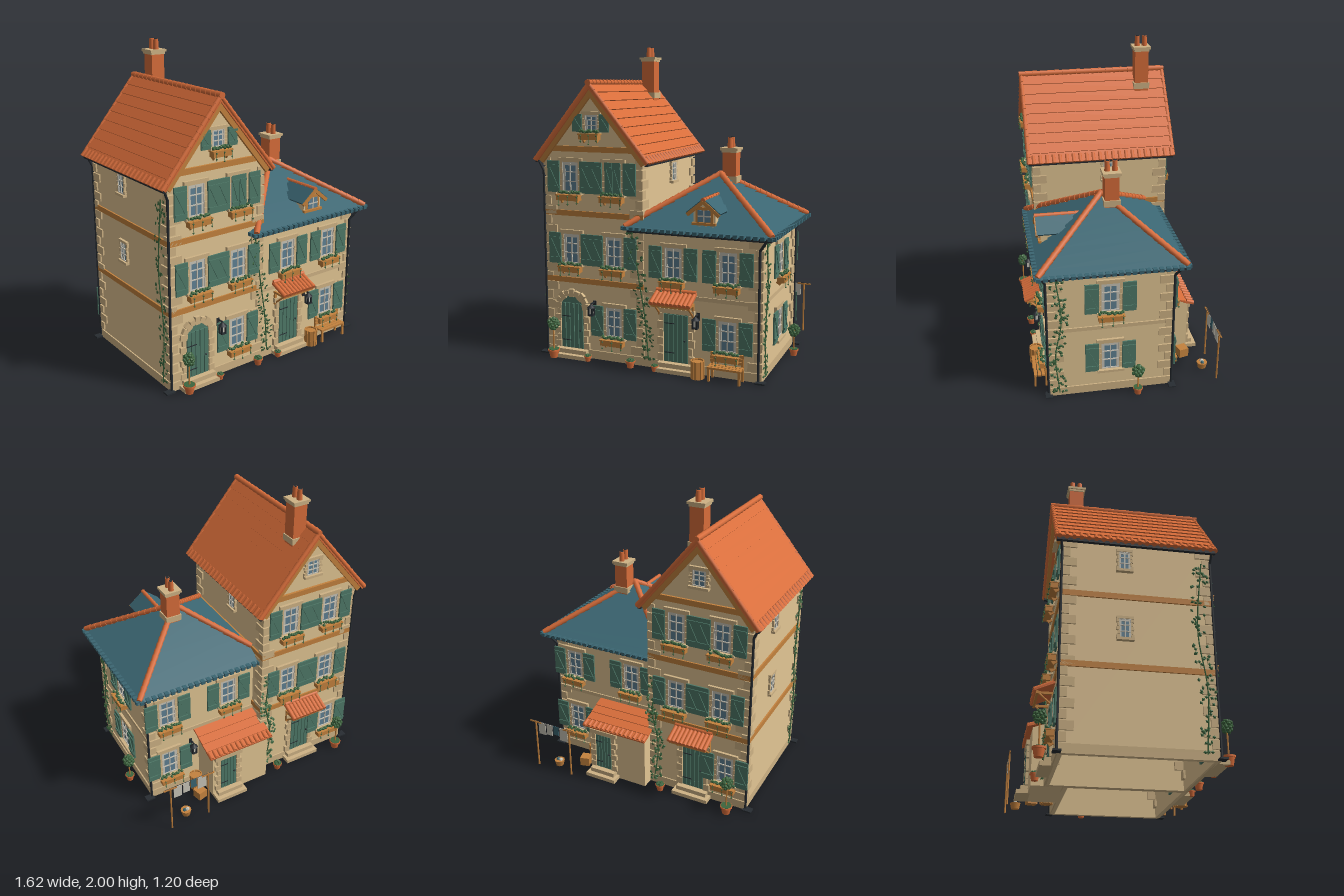
import * as THREE from 'three';
import { mergeGeometries } from 'three/addons/utils/BufferGeometryUtils.js';

const mat = (name, color) => Object.assign(new THREE.MeshStandardMaterial({ color, side: THREE.DoubleSide }), { name });
const V = (x, y, z) => new THREE.Vector3(x, y, z);
const PI = Math.PI;

export function createModel() {
  const wall = mat('wall plaster', 0xe3c694), stone = mat('stone trim', 0xcfb385), tile = mat('terracotta', 0xd86d3a),
    slate = mat('slate', 0x3b6672), green = mat('shutter green', 0x4f7968), wood = mat('wood', 0xc4823e),
    iron = mat('iron', 0x272c31), leaf = mat('leaf', 0x3e663f), glass = mat('glass', 0x5f8193), cream = mat('cream', 0xc9c5b8);
  const model = new THREE.Group();
  model.name = 'house';
  let seed = 7;
  const rnd = () => (seed = (seed * 16807) % 2147483647) / 2147483647;

  // helpers: placed primitives, merged per part
  const put = (g, x = 0, y = 0, z = 0, rx = 0, ry = 0, rz = 0) => g.applyMatrix4(new THREE.Matrix4().compose(
    V(x, y, z), new THREE.Quaternion().setFromEuler(new THREE.Euler(rx, ry, rz)), V(1, 1, 1)));
  const box = (w, h, d, ...p) => put(new THREE.BoxGeometry(w, h, d), ...p);
  const cyl = (rt, rb, h, ...p) => put(new THREE.CylinderGeometry(rt, rb, h, 12), ...p);
  const rod = (a, b, r0, r1 = r0) => {
    const g = new THREE.CylinderGeometry(r1, r0, a.distanceTo(b), 8), d = b.clone().sub(a).normalize();
    const m = new THREE.Matrix4().makeRotationFromQuaternion(new THREE.Quaternion().setFromUnitVectors(V(0, 1, 0), d));
    return g.applyMatrix4(m.setPosition(a.clone().lerp(b, 0.5)));
  };
  const tileRun = (a, b, r, n) => Array.from({ length: n }, (_, i) =>
    rod(a.clone().lerp(b, i / n), a.clone().lerp(b, Math.min(1, (i + 1.12) / n)), r * 0.8, r));
  const extrude = (pts, depth) => new THREE.ExtrudeGeometry(new THREE.Shape(pts.map(p => new THREE.Vector2(...p))), { depth, bevelEnabled: false });
  const add = (parent, name, m, ...geos) => {
    const mesh = new THREE.Mesh(mergeGeometries(geos.flat().map(g => g.index ? g.toNonIndexed() : g)), m);
    mesh.name = name;
    parent.add(mesh);
  };
  const unit = (name, x, y, z, ry = 0) => {
    const g = new THREE.Group();
    g.name = name; g.position.set(x, y, z); g.rotation.y = ry;
    model.add(g);
    return g;
  };
  const ring = (x0, x1, z0, z1, y, h, t) => [z0 + t / 2, z1 - t / 2].map(z => box(x1 - x0, h, t, (x0 + x1) / 2, y + h / 2, z))
    .concat([x0 + t / 2, x1 - t / 2].map(x => box(t, h, z1 - z0, x, y + h / 2, (z0 + z1) / 2)));
  const blob = (x, y, z, r) => put(new THREE.IcosahedronGeometry(r, 0), x, y, z, rnd() * 3, rnd() * 3);

  // hollow walls, gables, plinth and bands
  const T = [-0.74, -0.065, -0.40, 0.47], A = [-0.065, 0.70, -0.285, 0.47], out = (r, e) => [r[0] - e, r[1] + e, r[2] - e, r[3] + e];
  add(model, 'tallHouseWalls', wall, ring(...T, 0, 1.32, 0.025));
  add(model, 'annexWalls', wall, ring(...A, 0, 0.9, 0.025));
  const gable = [[-0.74, 1.31], [-0.065, 1.31], [-0.4, 1.73]];
  add(model, 'gables', wall, put(extrude(gable, 0.025), 0, 0, 0.445), put(extrude(gable, 0.025), 0, 0, -0.40));
  add(model, 'plinth', stone, ring(...out(T, 0.008), 0, 0.055, 0.02), ring(...out(A, 0.008), 0, 0.055, 0.02));
  add(model, 'timberBands', wood, ring(...out(T, 0.01), 0.49, 0.035, 0.02), ring(...out(T, 0.01), 0.925, 0.035, 0.02),
    box(0.62, 0.035, 0.02, -0.4, 1.352, 0.475), box(0.62, 0.035, 0.02, -0.4, 1.352, -0.405));
  add(model, 'annexStoneBand', stone, ring(...out(A, 0.008), 0.46, 0.025, 0.02));

  // corner stones
  const quoins = [];
  for (const [x, z, sx, sz, top] of [[-0.74, 0.47, -1, 1, 1.28], [-0.74, -0.4, -1, -1, 1.28], [-0.065, 0.47, 1, 1, 1.28],
    [-0.065, -0.4, 1, -1, 1.28], [0.7, 0.47, 1, 1, 0.84], [0.7, -0.285, 1, -1, 0.84]])
    for (let y = 0.09, i = 0; y < top; y += 0.062, i++) {
      const w = i % 2 ? 0.05 : 0.09, d = 0.14 - w;
      quoins.push(box(w, 0.052, d, x + sx * (0.01 - w / 2), y, z + sz * (0.01 - d / 2)));
    }
  add(model, 'cornerStones', stone, quoins);

  // tall house roof: overlapping courses on two slopes
  const a = Math.atan2(0.475, 0.393), L = Math.hypot(0.475, 0.393), roof = [], rakes = [];
  for (const s of [-1, 1]) {
    const at = (t, up, z) => V(-0.4 + s * (0.393 * t + up * Math.sin(a)), 1.755 - 0.475 * t + up * Math.cos(a), z);
    const slab = at(0.5, -0.012, 0.03);
    roof.push(box(L, 0.018, 0.96, slab.x, slab.y, slab.z, 0, 0, -s * a));
    for (let i = 0; i < 9; i++) {
      const p = at((i + 0.5) / 9, 0.003, 0.03);
      roof.push(box(L / 9 + 0.012, 0.012, 0.96, p.x, p.y, p.z, 0, 0, -s * (a - 0.1)));
    }
    for (let z = -0.43; z < 0.5; z += 0.043) roof.push(rod(at(0.92, 0.006, z), at(1.01, 0.006, z), 0.012, 0.014));
    for (const z of [-0.443, 0.504]) roof.push(...tileRun(at(0, 0, z), at(1, 0, z), 0.016, 13));
    for (const z of [-0.43, 0.49]) {
      const p = at(0.5, -0.037, z);
      rakes.push(box(L * 0.95, 0.03, 0.02, p.x, p.y, z, 0, 0, -s * a));
    }
  }
  add(model, 'tallRoof', tile, roof, tileRun(V(-0.4, 1.762, -0.455), V(-0.4, 1.762, 0.52), 0.02, 20));
  add(model, 'gableRakes', wood, rakes);

  // annex hipped roof: stacked four-sided courses with stepped lower edges
  const hip = [], N = 8, Y0 = 0.885, H = 0.3;
  for (let i = 0; i < N; i++) {
    const g = new THREE.CylinderGeometry(Math.max(0.001, 1 - (i + 1) / N), 1 - i / N + 0.05, H / N, 4).toNonIndexed();
    g.rotateY(PI / 4).scale(0.457 * Math.SQRT2, 1, 0.437 * Math.SQRT2).translate(0.31, Y0 + H * (i + 0.5) / N, 0.09);
    g.computeVertexNormals();
    hip.push(g);
  }
  for (let k = -0.44; k < 0.45; k += 0.04) for (const s of [-1, 1])
    hip.push(box(0.026, 0.022, 0.03, 0.31 + k * 1.03, Y0, 0.09 + s * 0.452), box(0.03, 0.022, 0.026, 0.31 + s * 0.472, Y0, 0.09 + k));
  add(model, 'annexRoof', slate, hip);
  const hips = [];
  for (const sx of [-1, 1]) for (const sz of [-1, 1]) if (sx > 0 || sz > 0)
    hips.push(...tileRun(V(0.31 + sx * 0.465, 0.897, 0.09 + sz * 0.445), V(0.31, 1.192, 0.09), 0.021, 16));
  hips.push(...tileRun(V(-0.06, 0.958, -0.265), V(0.31, 1.192, 0.09), 0.021, 12));
  add(model, 'hipTiles', tile, hips);

  // dormer
  const dormer = unit('dormer', 0.345, 0, 0);
  add(dormer, 'dormerBody', wall, put(extrude([[-0.07, 0.88], [0.07, 0.88], [0.07, 1.01], [0, 1.07], [-0.07, 1.01]], 0.28), 0, 0, 0.2));
  add(dormer, 'dormerRoof', slate, [-1, 1].map(s => box(0.135, 0.014, 0.34, s * 0.052, 1.04, 0.335, 0, 0, -s * 0.68)));
  add(dormer, 'dormerRidge', tile, tileRun(V(0, 1.08, 0.17), V(0, 1.08, 0.51), 0.015, 8));
  add(dormer, 'dormerTrim', wood, [-1, 1].map(s => box(0.13, 0.022, 0.014, s * 0.05, 1.03, 0.505, 0, 0, -s * 0.68)),
    box(0.15, 0.016, 0.02, 0, 0.935, 0.485), box(0.112, 0.1, 0.006, 0, 0.985, 0.482));
  add(dormer, 'dormerGlass', glass, box(0.08, 0.07, 0.006, 0, 0.982, 0.486));
  add(dormer, 'dormerBars', cream, box(0.008, 0.07, 0.006, 0, 0.982, 0.489), box(0.08, 0.008, 0.006, 0, 0.982, 0.489));

  // chimneys
  for (const [x, z, y0, y1] of [[-0.34, -0.285, 1.62, 1.915], [0.363, 0.037, 1.1, 1.335]]) {
    const c = unit('chimney', x, 0, z), pots = [-0.024, 0.024];
    add(c, 'chimneyStack', tile, box(0.09, y1 - y0, 0.09, 0, (y0 + y1) / 2, 0), pots.map(k => cyl(0.015, 0.018, 0.07, 0, y1 + 0.05, k)));
    add(c, 'potOpenings', iron, pots.map(k => cyl(0.011, 0.011, 0.004, 0, y1 + 0.085, k)));
    add(c, 'chimneyCap', stone, box(0.115, 0.016, 0.115, 0, y1 + 0.012, 0), box(0.1, 0.014, 0.1, 0, y1 - 0.003, 0), box(0.104, 0.04, 0.104, 0, y0 + 0.055, 0));
  }

  // gutters and downpipes
  add(model, 'gutters', iron, ring(-0.145, 0.765, -0.345, 0.525, 0.858, 0.018, 0.018),
    [-0.78, -0.02].map(x => box(0.022, 0.02, 0.95, x, 1.272, 0.03)));
  const pipe = (x, z, top, sx, sz) => [rod(V(x, 0.015, z), V(x, top - 0.07, z), 0.008), rod(V(x, top - 0.07, z), V(x + sx, top, z + sz), 0.008),
    box(0.06, 0.01, 0.045, x + Math.sign(sx) * 0.015, 0.005, z)];
  add(model, 'downpipes', iron, pipe(-0.748, 0.478, 1.28, -0.032, 0.01), pipe(-0.748, -0.408, 1.28, -0.032, -0.01),
    pipe(0.69, 0.487, 0.87, 0.05, 0.03), pipe(0.712, -0.293, 0.87, 0.04, -0.04));

  // windows with surround, shutters and flower box
  const win = (x, y, z, ry, { w = 0.11, h = 0.19, shutters = true, flowers = true, closed = false } = {}) => {
    const g = unit('window', x, y, z, ry), m = h / 2, k = w / 0.11;
    add(g, 'glass', glass, box(w, h, 0.008, 0, m, 0.002));
    add(g, 'curtains', cream, [-1, 1].map(s => box(w * 0.14, h * 0.96, 0.004, s * w * 0.41, m, 0.006)), box(w, h * 0.1, 0.004, 0, h * 0.93, 0.006));
    add(g, 'windowBars', cream, box(0.007, h, 0.01, 0, m, 0.008), [0.02, 0.35, 0.67, 0.98].map(t => box(w, 0.006, 0.01, 0, h * t, 0.008)),
      [-1, 1].map(s => box(0.007, h, 0.01, s * w / 2, m, 0.008)));
    const jambs = [];
    for (let i = 0; i < 5; i++) for (const s of [-1, 1]) jambs.push(box(k * (i % 2 ? 0.02 : 0.03), h / 5 - 0.003, 0.02, s * (w / 2 + k * (i % 2 ? 0.01 : 0.015)), h * (i + 0.5) / 5, 0.004));
    add(g, 'surround', stone, jambs, box(w + 0.06 * k, 0.026 * k, 0.026, 0, h + 0.012 * k, 0.004), box(w + 0.06 * k, 0.016, 0.045 * k, 0, -0.008, 0.012));
    const sw = w * 0.77;
    const boards = (cx, bw, zz) => [box(bw, h + 0.01, 0.01, cx, m, zz), [0.15, 0.85].map(t => box(bw * 0.94, 0.014, 0.008, cx, h * t, zz + 0.007)),
      box(0.01, h * 0.75, 0.006, cx, m, zz + 0.007, 0, 0, Math.atan2(bw * 0.75, h * 0.7))].flat();
    if (shutters) add(g, 'shutters', green, [-1, 1].map(s => boards(s * (w / 2 + 0.018 + sw / 2), sw, 0.019)).flat());
    if (closed) add(g, 'closedShutters', green, [-1, 1].map(s => boards(s * w / 4, w / 2 - 0.003, 0.016)).flat());
    if (!flowers) return;
    const bw = w + 0.045, leaves = [];
    add(g, 'flowerBox', wood, box(bw, 0.036, 0.045, 0, -0.033, 0.036), box(bw + 0.01, 0.008, 0.052, 0, -0.017, 0.036),
      [-1, 1].map(s => box(0.01, 0.025, 0.03, s * bw * 0.35, -0.053, 0.02, 0.6)));
    for (let i = 0; i < 12; i++) {
      const px = (i / 11 - 0.5) * bw * 0.92;
      leaves.push(blob(px, -0.006 + rnd() * 0.012, 0.038 + (rnd() - 0.5) * 0.025, 0.011));
      if (i % 5 == 1) leaves.push(blob(px, -0.055 - rnd() * 0.025, 0.063, 0.006), blob(px, -0.025, 0.063, 0.006), rod(V(px, -0.07, 0.062), V(px, -0.01, 0.06), 0.0015));
    }
    add(g, 'boxLeaves', leaf, leaves);
  };
  for (const y of [0.62, 1.08]) for (const x of [-0.555, -0.255]) {
    win(x, y, 0.47, 0, { closed: x > -0.3 && y > 1 });
    win(x, y, -0.40, PI);
  }
  win(-0.26, 0.165, 0.47, 0);
  win(-0.60, 0.165, -0.40, PI);
  win(-0.4, 1.465, 0.47, 0, { w: 0.085, h: 0.1 });
  win(-0.4, 1.465, -0.40, PI, { w: 0.085, h: 0.1, shutters: false, flowers: false });
  for (const x of [0.145, 0.495]) win(x, 0.585, 0.47, 0);
  win(0.495, 0.165, 0.47, 0);
  for (const x of [0.13, 0.57]) win(x, 0.585, -0.285, PI);
  win(0.57, 0.165, -0.285, PI);
  win(0.70, 0.59, 0.10, PI / 2);
  win(0.70, 0.17, 0.10, PI / 2, { flowers: false });
  const small = { w: 0.065, h: 0.12, shutters: false, flowers: false };
  win(-0.065, 1.12, -0.02, PI / 2, small);
  for (const y of [0.68, 1.12]) win(-0.74, y, -0.04, -PI / 2, small);

  // doors
  const door = (x, z, ry, arch, w = 0.165, h = 0.31) => {
    const g = unit('door', x, 0.055, z, ry), r = w / 2, frame = [], s = new THREE.Shape();
    s.moveTo(-r, 0).lineTo(r, 0).lineTo(r, h);
    if (arch) s.absarc(0, h, r, 0, PI); else s.lineTo(-r, h);
    add(g, 'doorLeaf', green, put(new THREE.ExtrudeGeometry(s, { depth: 0.045, bevelEnabled: false, curveSegments: 12 }), 0, 0, -0.037),
      [-0.4, -0.2, 0, 0.2, 0.4].map(t => box(w * 0.16, h * (arch ? 1.12 : 0.96), 0.012, t * w * 0.95, h * (arch ? 0.57 : 0.5), 0.01)));
    add(g, 'doorIron', iron, [0.2, 0.8].map(t => box(w * 0.4, 0.005, 0.004, -w * 0.25, h * t, 0.017)), blob(w * 0.36, h * 0.47, 0.018, 0.007));
    for (let i = 0; i < 6; i++) for (const q of [-1, 1]) frame.push(box(i % 2 ? 0.025 : 0.04, h / 6 - 0.005, 0.024, q * (r + (i % 2 ? 0.0125 : 0.02)), h * (i + 0.5) / 6, 0.006));
    if (arch) for (let i = 0; i < 9; i++) { const t = PI * (i + 0.5) / 9; frame.push(box(i % 2 ? 0.036 : 0.05, 0.034, 0.03, Math.cos(t) * (r + 0.02), h + Math.sin(t) * (r + 0.02), 0.008, 0, 0, t)); }
    else frame.push(box(w + 0.08, 0.03, 0.03, 0, h + 0.015, 0.006));
    add(g, 'doorSurround', stone, frame, box(w + 0.06, 0.028, 0.05, 0, -0.015, 0.02), box(w + 0.1, 0.025, 0.085, 0, -0.0425, 0.03));
  };
  door(-0.56, 0.47, 0, true, 0.165, 0.265);
  door(0.163, 0.47, 0, false);
  door(-0.38, -0.40, PI, false, 0.15);

  // tiled door canopies
  const canopy = (x, z, ry, y) => {
    const g = unit('canopy', x, y, z, ry), ribs = [];
    for (let i = 0; i < 10; i++) ribs.push(rod(V(-0.122 + i * 0.027, 0.072, 0), V(-0.122 + i * 0.027, 0.018, 0.12), 0.012, 0.014));
    add(g, 'canopyTiles', tile, box(0.265, 0.014, 0.13, 0, 0.042, 0.058, 0.41), ribs, rod(V(-0.13, 0.076, 0.006), V(0.13, 0.076, 0.006), 0.014));
    add(g, 'canopyFrame', wood, box(0.25, 0.018, 0.014, 0, 0.003, 0.1), [-1, 1].map(s => [box(0.014, 0.014, 0.1, s * 0.11, 0.003, 0.05),
      box(0.014, 0.09, 0.014, s * 0.11, -0.035, 0.008), rod(V(s * 0.11, -0.07, 0.01), V(s * 0.11, 0, 0.09), 0.006)]).flat());
  };
  canopy(0.163, 0.47, 0, 0.43);
  canopy(-0.38, -0.40, PI, 0.42);

  // rear lean-to shed
  add(model, 'shedWalls', wall, put(extrude([[0.285, 0], [0.485, 0], [0.485, 0.36], [0.285, 0.43]], 0.415), -0.065, 0, 0, 0, PI / 2, 0));
  const shedTiles = [];
  for (let i = 0; i < 14; i++) shedTiles.push(rod(V(-0.07 + i * 0.034, 0.388, -0.47), V(-0.07 + i * 0.034, 0.372, -0.518), 0.011, 0.013));
  for (let i = 0; i < 4; i++) shedTiles.push(box(0.465, 0.012, 0.07, 0.15, 0.44 - i * 0.0215, -0.315 - i * 0.057, -0.28));
  add(model, 'shedRoof', tile, shedTiles);
  door(0.24, -0.485, PI, false, 0.12, 0.26);

  // lanterns
  for (const [x, y, z, ry] of [[-0.40, 0.3, 0.47, 0], [0.305, 0.3, 0.47, 0], [0.41, 0.3, -0.285, PI]]) {
    const g = unit('lantern', x, y, z, ry);
    add(g, 'lanternLight', cream, box(0.018, 0.036, 0.018, 0, 0.03, 0.05));
    add(g, 'lanternFrame', iron, [-1, 1].map(s => [-1, 1].map(q => box(0.009, 0.05, 0.009, s * 0.013, 0.03, 0.05 + q * 0.013))).flat(),
      cyl(0.004, 0.027, 0.022, 0, 0.064, 0.05), box(0.034, 0.008, 0.034, 0, 0.004, 0.05), box(0.008, 0.008, 0.05, 0, 0.077, 0.025), box(0.02, 0.05, 0.006, 0, 0.06, 0.003));
  }

  // potted plants; tall ones are small trees
  const pot = (x, z, r, tree) => {
    const g = unit('pottedPlant', x, 0, z), h = r * 1.6, l = [], n = tree ? 30 : 10;
    add(g, 'pot', tile, cyl(r, r * 0.7, h, 0, h / 2, 0), cyl(r * 1.12, r * 1.12, h * 0.2, 0, h * 0.9, 0));
    for (let i = 0; i < n; i++) {
      const k = tree ? 0.031 : r * 0.6, t = i * 2.4, v = 2 * (i + 0.5) / n - 1, c = Math.sqrt(1 - v * v) * k * (0.7 + 0.4 * rnd());
      l.push(blob(Math.cos(t) * c, (tree || h * 1.05) + v * k * (tree ? 1.1 : 0.4), Math.sin(t) * c, tree ? 0.013 : r * 0.35));
    }
    add(g, 'foliage', leaf, l, cyl(r, r, 0.003, 0, h + 0.001, 0));
    if (tree) add(g, 'trunk', wood, rod(V(0, h, 0), V(0, tree, 0), 0.005));
  };
  pot(-0.665, 0.545, 0.035, 0.225); pot(-0.65, -0.49, 0.035, 0.225); pot(0.77, -0.065, 0.028, 0.17);
  for (const [x, z, r] of [[-0.425, 0.53, 0.022], [-0.125, 0.53, 0.028], [0.04, 0.53, 0.022], [-0.17, -0.47, 0.028]]) pot(x, z, r);

  // climbing vines
  for (const pts of [[V(-0.02, 0.05, 0.487), V(-0.04, 0.3, 0.487), V(-0.08, 0.55, 0.487), V(-0.13, 0.87, 0.49)],
    [V(0.717, 0.03, 0.42), V(0.717, 0.3, 0.44), V(0.717, 0.55, 0.40), V(0.717, 0.85, 0.43)],
    [V(-0.757, 0.03, 0.40), V(-0.757, 0.4, 0.42), V(-0.757, 0.75, 0.38), V(-0.757, 1.2, 0.42)],
    [V(-0.1, 0.03, -0.417), V(-0.13, 0.3, -0.417), V(-0.09, 0.55, -0.417), V(-0.12, 0.8, -0.417)]]) {
    const c = new THREE.CatmullRomCurve3(pts), side = Math.abs(pts[0].x) > 0.5, l = [];
    for (let i = 0; i < 100; i++) {
      const p = c.getPoint(rnd()), k = (rnd() - 0.5) * 0.09, e = (rnd() - 0.5) * 0.014;
      l.push(put(new THREE.OctahedronGeometry(0.013).scale(1, 0.8, 0.35), p.x + (side ? e : k), p.y, p.z + (side ? k : e), rnd() * 0.8, (side ? PI / 2 : 0) + rnd() - 0.5, rnd() * 3));
    }
    add(model, 'vine', leaf, l, new THREE.TubeGeometry(c, 20, 0.004, 5));
  }

  // bench, barrels, crate and basket
  const bench = unit('bench', 0.5, 0, 0.535);
  add(bench, 'benchSlats', wood, [-1, 0, 1].map(k => box(0.21, 0.012, 0.02, 0, 0.085, k * 0.024)), [0.112, 0.134, 0.156].map(y => box(0.21, 0.017, 0.008, 0, y, -0.035)),
    [-1, 1].map(s => [box(0.014, 0.165, 0.012, s * 0.095, 0.083, -0.042), box(0.014, 0.085, 0.012, s * 0.095, 0.043, 0.028)]).flat());
  for (const [x, z] of [[0.325, 0.535], [0.405, -0.345]]) {
    const b = unit('barrel', x, 0, z), ring12 = Array.from({ length: 12 }, (_, i) => i * PI / 6);
    add(b, 'staves', wood, cyl(0.036, 0.036, 0.1, 0, 0.05, 0), ring12.map(t => box(0.017, 0.11, 0.008, Math.sin(t) * 0.038, 0.055, Math.cos(t) * 0.038, 0, t)));
  }
  add(model, 'crate', wood, box(0.065, 0.06, 0.065, 0.425, 0.03, -0.44, 0, 0.25));
  add(model, 'basket', wood, cyl(0.035, 0.026, 0.04, 0.58, 0.02, -0.535));
  add(model, 'basketLaundry', cream, blob(0.57, 0.04, -0.535, 0.016));
  add(model, 'basketLaundryBlue', slate, blob(0.59, 0.04, -0.535, 0.014));

  // clothesline
  add(model, 'linePosts', wood, [0.445, 0.71].map(x => [rod(V(x, 0, -0.595), V(x, 0.35, -0.595), 0.006), box(0.09, 0.009, 0.009, x, 0.343, -0.595)]).flat());
  add(model, 'line', iron, rod(V(0.41, 0.35, -0.595), V(0.75, 0.35, -0.595), 0.0015));
  [[0.49, 0.06, 0.095, cream], [0.548, 0.04, 0.065, slate], [0.6, 0.045, 0.08, cream], [0.66, 0.055, 0.09, cream]].forEach(([x, w, h, m]) =>
    add(model, 'laundry', m, box(w, h, 0.004, x, 0.347 - h / 2, -0.595)));
  return model;
}
